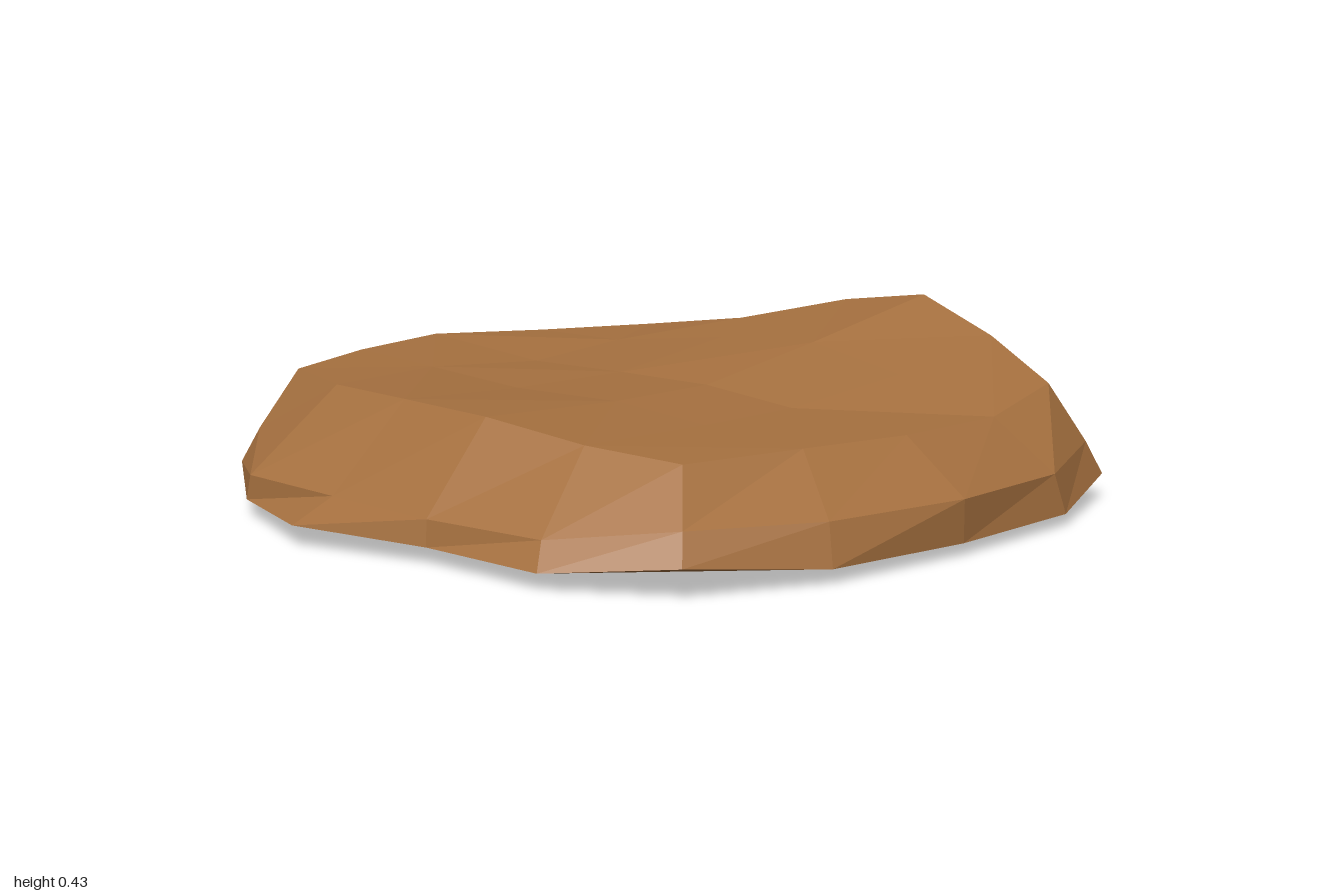
import * as THREE from 'three';

const COLS = 4, ROWS = 5; // the slab is a 4 x 5 grid with three outline rings

// Outline rings as x, y, z: along the back, the left side, the front, the right side
const baseRing = [
  -0.68, 0.07, -0.70, -0.34, 0.05, -0.87, 0.06, 0.045, -1.0, 0.46, 0.05, -0.88,
  0.79, 0.07, -0.70, 0.89, 0.045, -0.49, 0.96, 0.04, -0.16, 0.91, 0.04, 0.2, 0.88, 0.04, 0.49,
  0.78, 0.06, 0.84, 0.46, 0.03, 0.97, 0.06, 0.03, 0.99, -0.34, 0.035, 0.96,
  -0.67, 0.07, 0.84, -0.83, 0.04, 0.57, -0.85, 0.04, 0.23, -0.96, 0.05, -0.11, -0.85, 0.04, -0.44,
];
const middleRing = [
  -0.63, 0.15, -0.69, -0.33, 0.13, -0.81, 0.06, 0.13, -0.86, 0.45, 0.13, -0.81,
  0.75, 0.16, -0.68, 0.86, 0.12, -0.41, 0.92, 0.12, -0.08, 0.91, 0.13, 0.2, 0.87, 0.12, 0.49,
  0.75, 0.14, 0.81, 0.44, 0.125, 0.95, 0.06, 0.13, 0.99, -0.32, 0.13, 0.93,
  -0.64, 0.14, 0.81, -0.79, 0.1, 0.54, -0.84, 0.1, 0.22, -0.845, 0.1, -0.11, -0.845, 0.1, -0.43,
];
const topRing = [
  -0.53, 0.29, -0.66, -0.23, 0.29, -0.79, 0.06, 0.295, -0.84, 0.38, 0.28, -0.77,
  0.68, 0.28, -0.64, 0.79, 0.32, -0.34, 0.86, 0.39, -0.07, 0.86, 0.43, 0.2, 0.79, 0.36, 0.48,
  0.70, 0.28, 0.73, 0.40, 0.245, 0.80, 0.06, 0.25, 0.82, -0.24, 0.255, 0.78,
  -0.55, 0.255, 0.72, -0.61, 0.27, 0.48, -0.65, 0.30, 0.2, -0.64, 0.30, -0.1, -0.60, 0.29, -0.41,
];

// Inner points, one row at a time from back to front
const topInner = [
  -0.23, 0.28, -0.50, 0.06, 0.27, -0.43, 0.39, 0.285, -0.47,
  -0.26, 0.275, -0.14, 0.06, 0.28, -0.11, 0.44, 0.325, -0.13,
  -0.25, 0.285, 0.20, 0.06, 0.285, 0.19, 0.43, 0.35, 0.20,
  -0.24, 0.265, 0.48, 0.06, 0.265, 0.47, 0.42, 0.305, 0.49,
];
const baseInner = [];
for (const [z, y] of [[-0.5, 0.02], [-0.15, 0.004], [0.22, 0], [0.6, 0.004]]) {
  for (const x of [-0.36, 0.06, 0.47]) baseInner.push(x, y, z);
}

const pick = (list, k) => list.slice(k * 3, k * 3 + 3);

// Point of a capped grid: outline ring on the border, inner points elsewhere
function gridPoint(ring, inner, i, j) {
  if (j === 0) return pick(ring, i);
  if (i === COLS) return pick(ring, COLS + j);
  if (j === ROWS) return pick(ring, 2 * COLS + ROWS - i);
  if (i === 0) return pick(ring, 2 * (COLS + ROWS) - j);
  return pick(inner, (j - 1) * (COLS - 1) + i - 1);
}

function flatGeometry(points) {
  const geometry = new THREE.BufferGeometry();
  geometry.setAttribute('position', new THREE.Float32BufferAttribute(points.flat(), 3));
  geometry.computeVertexNormals();
  return geometry;
}

function capGeometry(ring, inner, facingUp) {
  const points = [];
  for (let j = 0; j < ROWS; j++) {
    for (let i = 0; i < COLS; i++) {
      const a = gridPoint(ring, inner, i, j), b = gridPoint(ring, inner, i + 1, j);
      const c = gridPoint(ring, inner, i, j + 1), d = gridPoint(ring, inner, i + 1, j + 1);
      // Diagonals run alternately for an irregular, chipped surface
      const tris = (i + j) % 2 ? [[a, c, b], [b, c, d]] : [[a, c, d], [a, d, b]];
      for (const t of tris) points.push(...(facingUp ? t : t.reverse()));
    }
  }
  return flatGeometry(points);
}

function wallGeometry(lower, upper) {
  const points = [], count = lower.length / 3;
  for (let k = 0; k < count; k++) {
    const n = (k + 1) % count;
    const a = pick(lower, k), b = pick(lower, n), c = pick(upper, k), d = pick(upper, n);
    points.push(a, c, b, b, c, d);
  }
  return flatGeometry(points);
}

export function createModel() {
  const group = new THREE.Group();
  group.name = 'rockSlab';
  const brown = new THREE.MeshStandardMaterial({ color: 0xa5703f });
  brown.name = 'brownStone';

  const add = (name, geometry) => {
    const mesh = new THREE.Mesh(geometry, brown);
    mesh.name = name;
    group.add(mesh);
  };
  add('topSurface', capGeometry(topRing, topInner, true));
  add('upperWall', wallGeometry(middleRing, topRing));
  add('lowerWall', wallGeometry(baseRing, middleRing));
  add('underside', capGeometry(baseRing, baseInner, false));
  return group;
}
